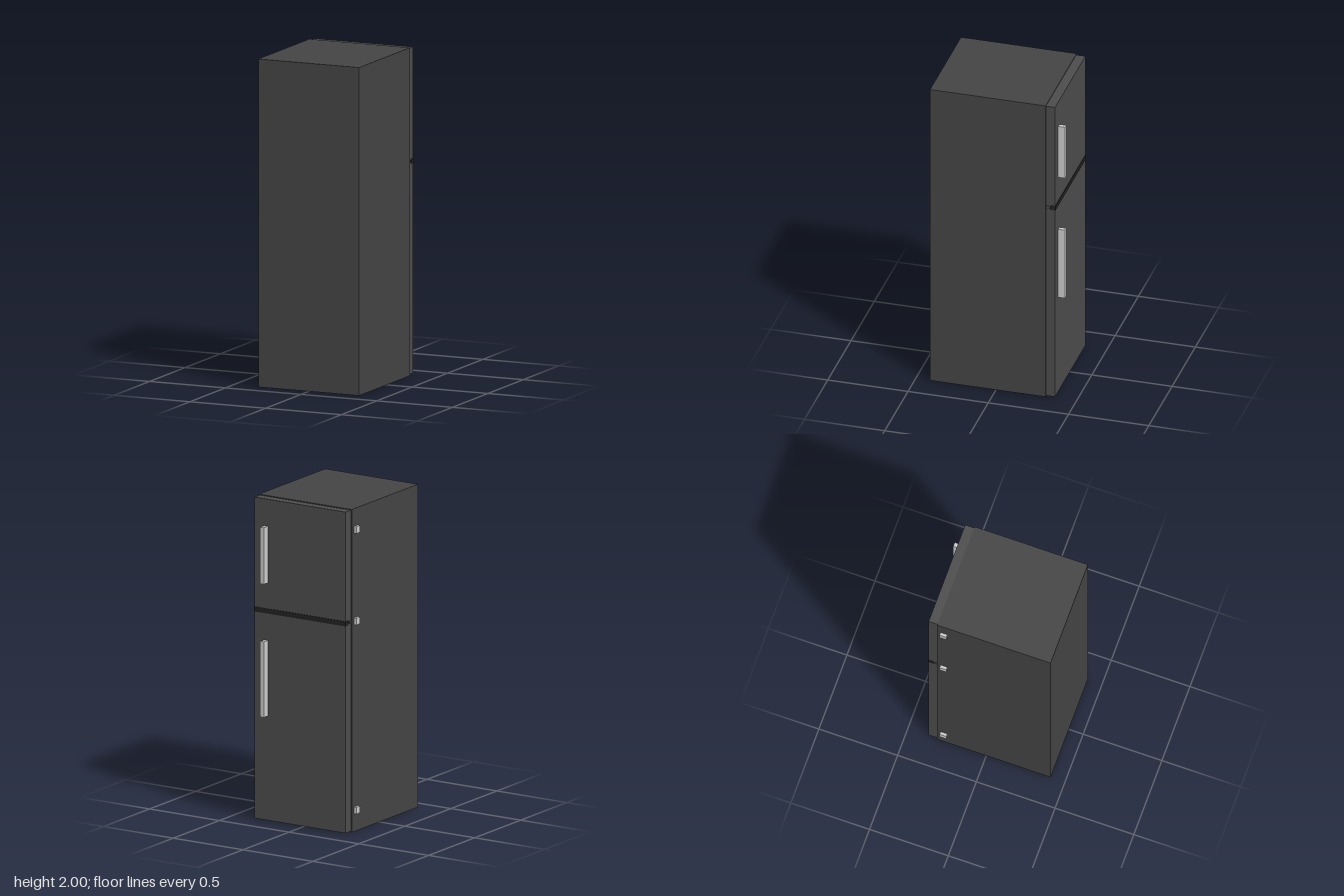
import * as THREE from 'three';

const paint = (color) => new THREE.MeshStandardMaterial({ color });

// Box given by its minimum and maximum corners
function block(name, min, max, material) {
  const size = max.map((v, i) => v - min[i]);
  const mesh = new THREE.Mesh(new THREE.BoxGeometry(...size), material);
  mesh.position.set(...min.map((v, i) => v + size[i] / 2));
  mesh.name = name;
  return mesh;
}

export function createModel() {
  const model = new THREE.Group();
  model.name = 'refrigerator';
  const bodyPaint = paint(0x444444);
  const doorPaint = paint(0x4c4c4c);
  const trimPaint = paint(0x222222);
  const metal = paint(0xcccccc);

  // Cabinet
  model.add(block('cabinet', [-0.325, 0.004, -0.311], [0.341, 2, 0.409], bodyPaint));

  // Doors, each with its handle: bottom, top, handle bottom, handle top
  const doors = [
    ['fridge', 0.01, 1.298, 0.655, 1.122],
    ['freezer', 1.311, 1.995, 1.478, 1.828],
  ];
  for (const [name, y0, y1, h0, h1] of doors) {
    model.add(block(name + 'Door', [-0.318, y0, -0.368], [0.335, y1, -0.311], doorPaint));
    model.add(block(name + 'Handle', [0.239, h0, -0.411], [0.266, h1, -0.368], metal));
  }

  // Dark strip covering the gap between the doors
  model.add(block('doorDivider', [-0.32, 1.289, -0.371], [0.337, 1.319, -0.338], trimPaint));

  // Hinges on the cabinet side
  for (const y of [0.136, 1.304, 1.87]) {
    model.add(block('hinge', [-0.343, y - 0.021, -0.29], [-0.325, y + 0.021, -0.247], metal));
  }

  // Small feet
  for (const x of [-0.255, 0.27]) {
    for (const z of [-0.255, 0.353]) {
      const foot = new THREE.Mesh(new THREE.CylinderGeometry(0.012, 0.012, 0.006, 16), trimPaint);
      foot.position.set(x, 0.003, z);
      foot.name = 'foot';
      model.add(foot);
    }
  }
  return model;
}
